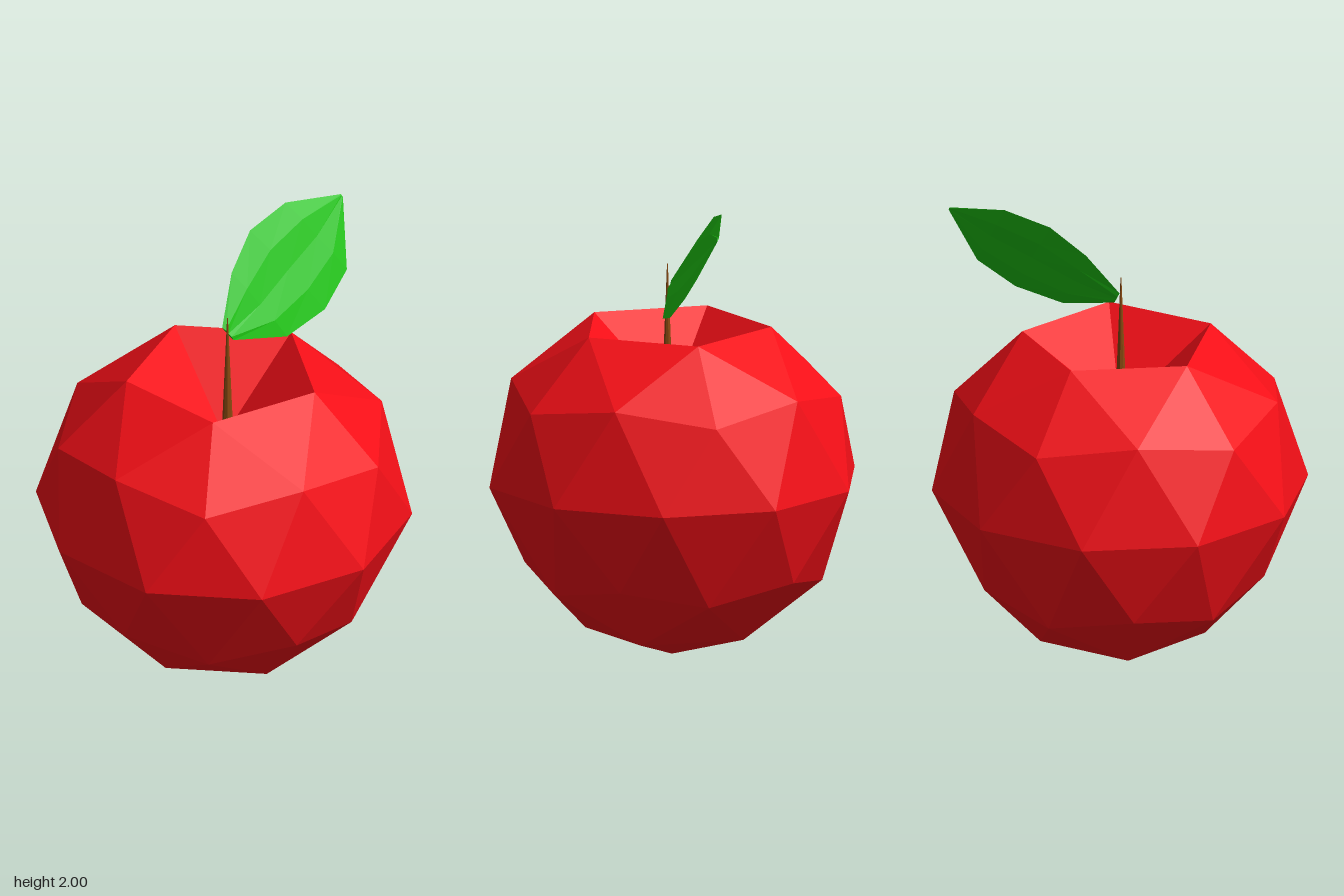
import * as THREE from 'three';

const paint = (color, side = THREE.FrontSide) =>
  new THREE.MeshStandardMaterial({ color, flatShading: true, side });

// Faceted fruit: an icosphere with its top pole pushed in and its lower half tapered
function makeFruit() {
  const geo = new THREE.IcosahedronGeometry(1, 1);
  geo.rotateZ(-Math.atan(2 / (1 + Math.sqrt(5)))); // one vertex straight up
  const p = geo.attributes.position;
  for (let i = 0; i < p.count; i++) {
    let x = p.getX(i) * 0.8, y = p.getY(i), z = p.getZ(i) * 0.8;
    if (y > 0.95) y = 0.33;                    // dimple
    else if (y > 0.8) y = 0.655;               // flat rim
    else if (y > -0.1) y *= 0.8;
    else {                                     // lower taper
      x *= 0.87;
      z *= z < 0 ? 0.94 : 0.87;
      y = y < -0.95 ? -0.765 : y < -0.8 ? -0.655 : y * 0.84;
    }
    p.setXYZ(i, x, y + 0.765, z);
  }
  geo.computeVertexNormals();
  const mesh = new THREE.Mesh(geo, paint(0xf50f17));
  mesh.name = 'fruit';
  return mesh;
}

// Thin tapered stem standing in the dimple
function makeStem() {
  const bottom = 1.08, top = 1.69;
  const geo = new THREE.CylinderGeometry(0.002, 0.026, top - bottom, 8);
  const mesh = new THREE.Mesh(geo, paint(0x8b4a10));
  mesh.position.set(0, (top + bottom) / 2, 0.02);
  mesh.name = 'stem';
  return mesh;
}

// Pleated leaf: closed cross-sections between the upper and lower outline, on a tilted plane
function makeLeaf() {
  const upper = [[0, 1.63], [0.13, 1.815], [0.28, 1.945], [0.48, 2.0], [0.735, 1.96]];
  const lower = [[0.03, 1.57], [0.27, 1.515], [0.48, 1.565], [0.64, 1.68], [0.74, 1.945]];
  const normal = new THREE.Vector3(-0.242, 0.52, 1).normalize();
  const pleat = [0, 0.014, 0.007, 0.014, 0];
  const swell = [0.5, 1, 1, 1, 0.2];
  // around each section: front points going down, then back points going up
  const ring = [0, 1, 2, 3, 4, 3, 2, 1];
  const pos = [], index = [], n = ring.length;
  upper.forEach((u, s) => ring.forEach((k, j) => {
    const t = k / 4;
    const x = u[0] + (lower[s][0] - u[0]) * t;
    const y = u[1] + (lower[s][1] - u[1]) * t;
    const v = new THREE.Vector3(x, y, -0.52 * (y - 1.61 - 0.465 * x));
    v.addScaledVector(normal, pleat[k] * swell[s] * (j <= 4 ? 1 : -1));
    pos.push(v.x, v.y, v.z);
  }));
  for (let s = 0; s < upper.length - 1; s++) {
    for (let j = 0; j < n; j++) {
      const a = s * n + j, b = s * n + (j + 1) % n;
      index.push(a, b, a + n, b, b + n, a + n);
    }
  }
  // end caps
  const last = (upper.length - 1) * n;
  for (let j = 1; j < n - 1; j++) index.push(0, j + 1, j, last, last + j, last + j + 1);
  const geo = new THREE.BufferGeometry();
  geo.setAttribute('position', new THREE.Float32BufferAttribute(pos, 3));
  geo.setIndex(index);
  const flat = geo.toNonIndexed();
  flat.computeVertexNormals();
  const mesh = new THREE.Mesh(flat, paint(0x1ec412, THREE.DoubleSide));
  mesh.name = 'leaf';
  return mesh;
}

export function createModel() {
  const model = new THREE.Group();
  model.name = 'apple';
  model.add(makeFruit(), makeStem(), makeLeaf());
  return model;
}
